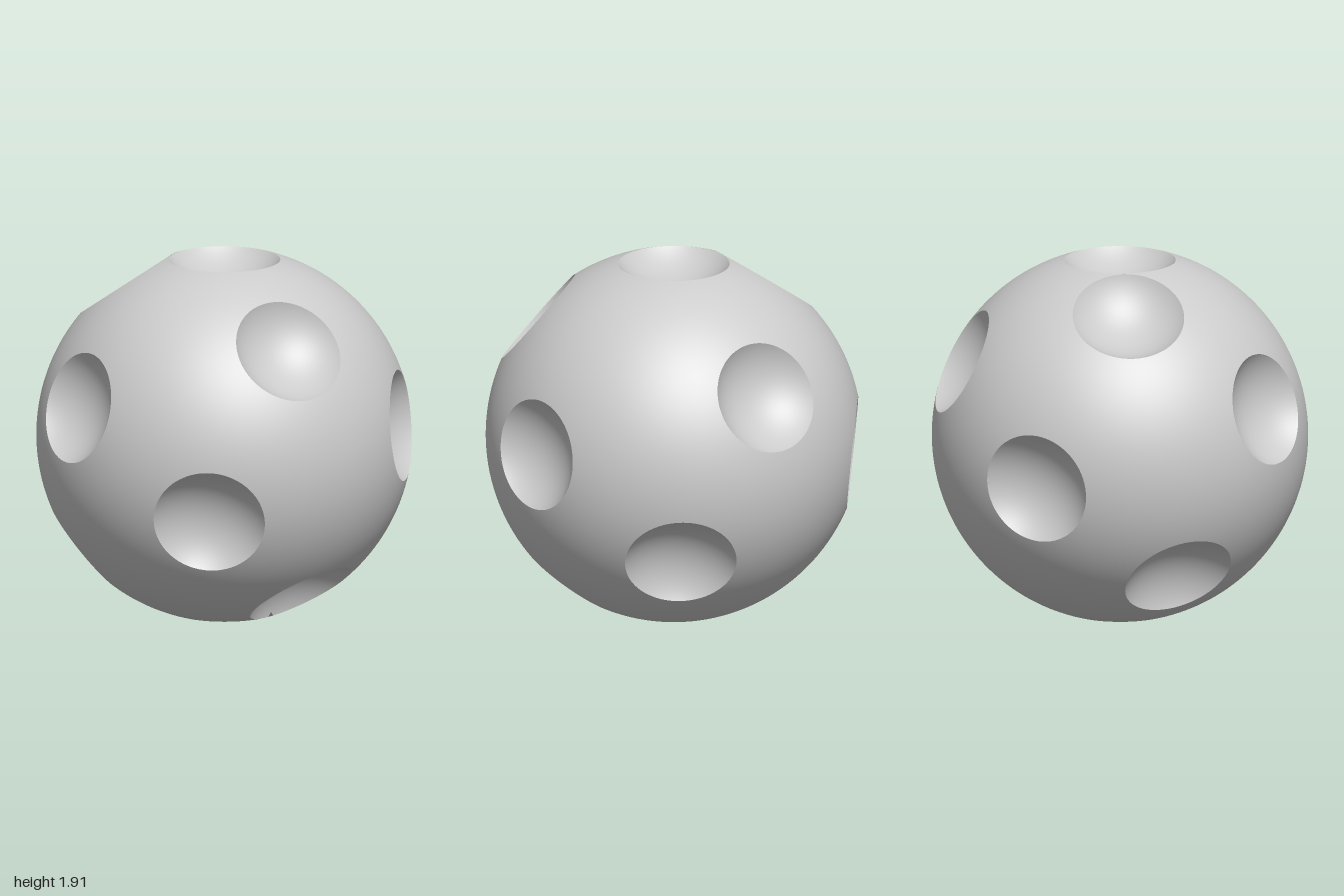
import * as THREE from 'three';

const COUNT = 12;                 // dimples on a golden-angle spiral
const RIM_COS = 0.955;            // rim plane height along the dimple axis
const RIM = Math.acos(RIM_COS);
const BOWL_R = 0.4;               // radius of each scooped-out sphere
const BOWL_D = RIM_COS + Math.sqrt(BOWL_R ** 2 - Math.sin(RIM) ** 2); // its centre distance
const SNAP = 0.011;               // half a mesh edge, so rims follow clean circles

// Axes of the dimples, pole to pole
function dimpleAxes() {
  const golden = Math.PI * (3 - Math.sqrt(5));
  return Array.from({ length: COUNT }, (_, i) => {
    const y = 1 - (2 * i) / (COUNT - 1);
    const r = Math.sqrt(Math.max(0, 1 - y * y));
    return new THREE.Vector3(r * Math.cos(i * golden), y, -r * Math.sin(i * golden));
  });
}

function nearestAxis(dir, axes) {
  return axes.reduce((best, a) => (a.dot(dir) > best.dot(dir) ? a : best));
}

// Pulls a point of the unit sphere onto the rim or down into the bowl
function shapePoint(p, axes) {
  const axis = nearestAxis(p, axes);
  const angle = p.angleTo(axis);
  if (Math.abs(angle - RIM) < SNAP) {
    const side = p.clone().addScaledVector(axis, -p.dot(axis)).normalize();
    p.copy(axis).multiplyScalar(RIM_COS).addScaledVector(side, Math.sin(RIM));
  } else if (angle < RIM) {
    const c = Math.cos(angle);
    p.multiplyScalar(BOWL_D * c - Math.sqrt(BOWL_R ** 2 - BOWL_D ** 2 * (1 - c * c)));
  }
  return p;
}

function dimpledSphere() {
  const axes = dimpleAxes();
  const geo = new THREE.IcosahedronGeometry(1, 60);
  const pos = geo.attributes.position;
  const nor = geo.attributes.normal;
  for (let i = 0; i < pos.count; i += 3) {
    const tri = [0, 1, 2].map((k) =>
      shapePoint(new THREE.Vector3().fromBufferAttribute(pos, i + k).normalize(), axes));
    // Smooth normals on the ball and in the bowls, with a crisp rim between
    const mid = tri[0].clone().add(tri[1]).add(tri[2]).normalize();
    const axis = nearestAxis(mid, axes);
    const inBowl = mid.angleTo(axis) < RIM && tri.some((p) => p.angleTo(axis) < RIM - 1e-4);
    tri.forEach((p, k) => {
      const n = inBowl ? axis.clone().multiplyScalar(BOWL_D).sub(p) : p.clone();
      n.normalize();
      pos.setXYZ(i + k, p.x, p.y, p.z);
      nor.setXYZ(i + k, n.x, n.y, n.z);
    });
  }
  return geo;
}

export function createModel() {
  const group = new THREE.Group();
  group.name = 'dimpledBall';
  const ball = new THREE.Mesh(dimpledSphere(), new THREE.MeshStandardMaterial({ color: 0xcccccc }));
  ball.name = 'ball';
  ball.position.y = RIM_COS; // rests on the rim of the lowest dimple
  group.add(ball);
  return group;
}
